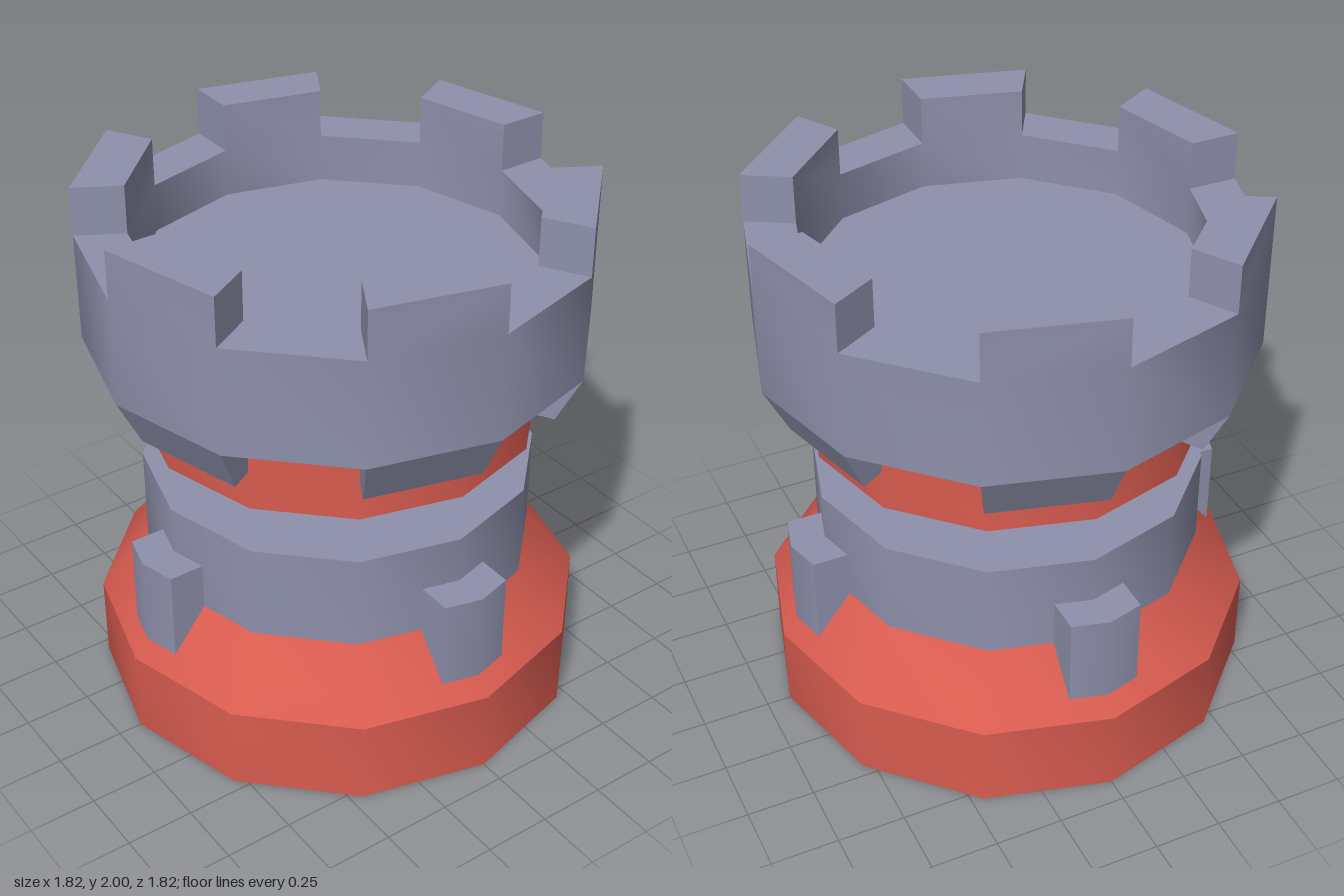
import * as THREE from 'three';
import { mergeGeometries, toCreasedNormals } from 'three/addons/utils/BufferGeometryUtils.js';
import { ConvexGeometry } from 'three/addons/geometries/ConvexGeometry.js';

const SIDES = 12;
const STEP = (Math.PI * 2) / SIDES;
const CREASE = 0.6;

// Twelve-sided turned body from [radius, y] pairs, listed bottom to top
function turned(profile) {
  const g = new THREE.LatheGeometry(profile.map(([r, y]) => new THREE.Vector2(r, y)), SIDES);
  g.deleteAttribute('uv');
  g.deleteAttribute('normal');
  return g.toNonIndexed();
}

// Solid block over one side of the ring; rings are [inner, outer, y]
function ringBlock(index, rings) {
  const points = [];
  for (const [inner, outer, y] of rings) {
    for (const a of [index * STEP, (index + 1) * STEP]) {
      for (const r of [inner, outer]) {
        points.push(new THREE.Vector3(r * Math.cos(a), y, r * Math.sin(a)));
      }
    }
  }
  const g = new ConvexGeometry(points);
  g.deleteAttribute('normal');
  return g;
}

export function createModel() {
  const model = new THREE.Group();
  model.name = 'towerPiece';
  const red = new THREE.MeshStandardMaterial({ color: 0xd95c50 });
  red.name = 'brickRed';
  const grey = new THREE.MeshStandardMaterial({ color: 0x8f91ac });
  grey.name = 'stoneGrey';

  const add = (name, geometry, material) => {
    const mesh = new THREE.Mesh(toCreasedNormals(geometry, CREASE), material);
    mesh.name = name;
    model.add(mesh);
    return mesh;
  };

  // Base, drum and neck
  add('base', turned([[0, 0], [0.91, 0], [0.91, 0.32], [0.725, 0.55], [0.6, 0.55]]), red);
  add('drum', turned([[0.725, 0.55], [0.725, 0.91], [0, 0.91]]), grey);
  add('neck', turned([[0.363, 0.91], [0.363, 1.05], [0.27, 1.095]]), grey);

  // Four lugs standing on the sloped shoulder
  const lugPoints = [];
  for (const y of [0.36, 0.73]) {
    for (const [x, z] of [[-0.135, 0.6], [0.135, 0.6], [0.135, 0.819], [0, 0.855], [-0.135, 0.819]]) {
      lugPoints.push(new THREE.Vector3(x, y, z));
    }
  }
  for (let i = 0; i < 4; i++) {
    add('lug', new ConvexGeometry(lugPoints), grey).rotation.y = (i * Math.PI) / 2;
  }

  // Red collar under the head
  add('collar', turned([[0, 1.09], [0.725, 1.09], [0.725, 1.43]]), red);

  // Parapet wall with sunken floor, battlements and brackets on alternate sides
  const head = [turned([
    [0.7, 1.42], [0.91, 1.42], [0.91, 1.82], [0.725, 1.82], [0.725, 1.64], [0, 1.64],
  ])];
  const brackets = [];
  for (let i = 1; i < SIDES; i += 2) {
    head.push(ringBlock(i, [[0.725, 0.91, 1.82], [0.725, 0.91, 2]]));
    brackets.push(ringBlock(i, [[0.7, 0.82, 1.24], [0.7, 0.91, 1.42]]));
  }
  add('battlements', mergeGeometries(head), grey);
  add('brackets', mergeGeometries(brackets), grey);

  return model;
}
